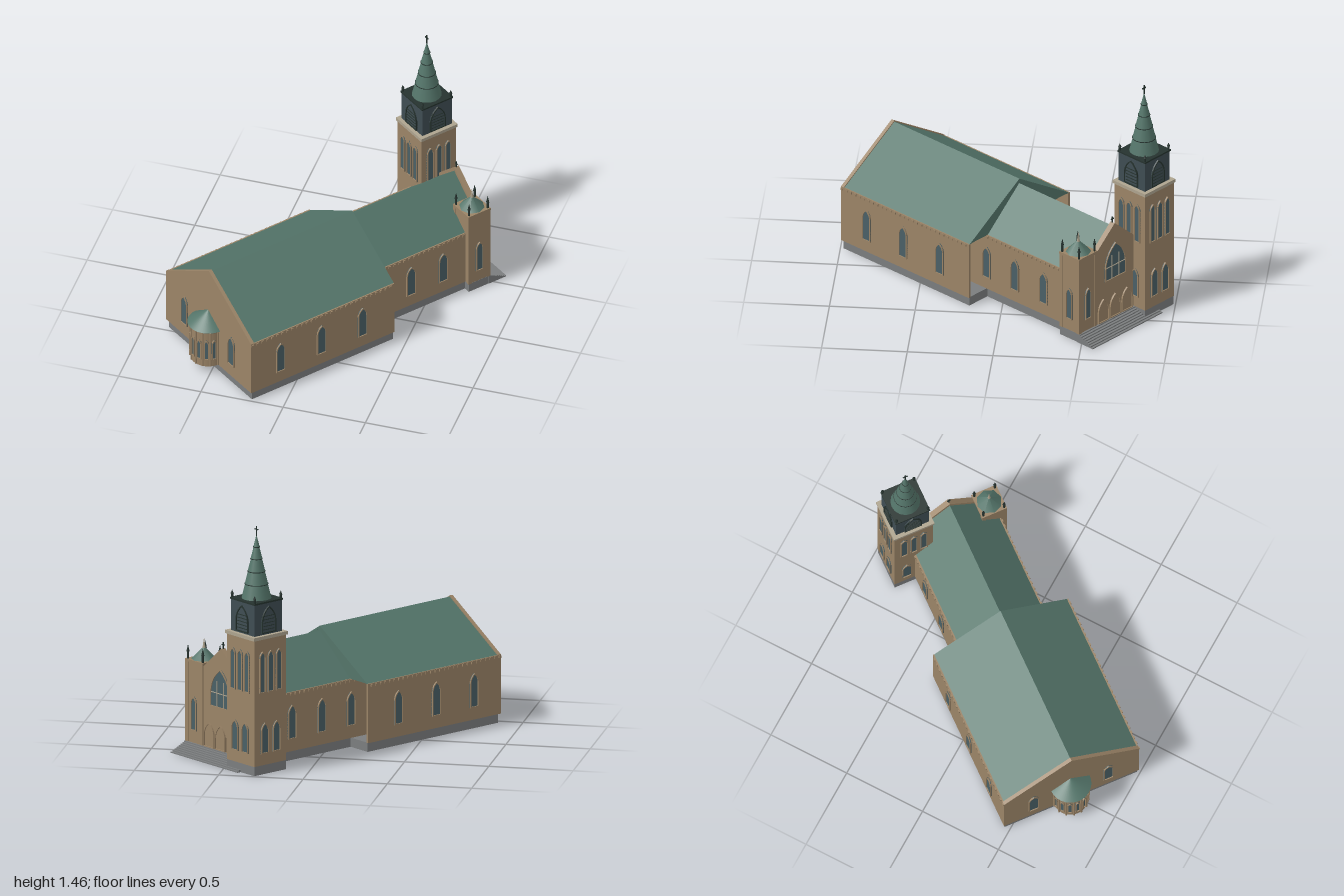
import * as THREE from 'three';

const mat = (name, color, side = THREE.FrontSide) => {
  const m = new THREE.MeshStandardMaterial({ color, side });
  m.name = name;
  return m;
};

export function createModel() {
  const stone = mat('tan stone', 0x9b8467);
  const roofM = mat('green copper', 0x54756a, THREE.DoubleSide);
  const grey = mat('grey plinth', 0x7b7d7e);
  const slate = mat('dark slate', 0x3f4d53);
  const glass = mat('window glass', 0x4a6066);
  const trim = mat('pale trim', 0xaea48f);
  const dark = mat('dark metal', 0x26332f);

  const model = new THREE.Group();
  model.name = 'church';
  const church = new THREE.Group();
  church.name = 'churchBody';
  church.rotation.y = -0.66;
  model.add(church);

  // helpers
  const add = (name, geo, m, x = 0, y = 0, z = 0, parent = church) => {
    const mesh = new THREE.Mesh(geo, m);
    mesh.name = name;
    mesh.position.set(x, y, z);
    parent.add(mesh);
    return mesh;
  };
  const box = (name, m, x0, x1, y0, y1, z0, z1, parent) =>
    add(name, new THREE.BoxGeometry(x1 - x0, y1 - y0, z1 - z0), m,
      (x0 + x1) / 2, (y0 + y1) / 2, (z0 + z1) / 2, parent);
  const block = (name, m, cx, cz, half, y0, y1) =>
    box(name, m, cx - half, cx + half, y0, y1, cz - half, cz + half);
  const poly = (pts) => new THREE.Shape(pts.map(p => new THREE.Vector2(p[0], p[1])));
  const prism = (name, m, pts, z0, z1) =>
    add(name, new THREE.ExtrudeGeometry(poly(pts), { depth: z1 - z0, bevelEnabled: false }), m, 0, 0, z0);

  // pointed arch outline, base at y = 0
  const arch = (w, h, o = 0, T = THREE.Shape) => {
    const s = h - w * 0.9, a = w / 2 - o, t = h - o * 1.4;
    const p = new T();
    p.moveTo(-a, o);
    p.lineTo(a, o);
    p.lineTo(a, s);
    p.quadraticCurveTo(a, s + (t - s) * 0.6, 0, t);
    p.quadraticCurveTo(-a, s + (t - s) * 0.6, -a, s);
    p.closePath();
    return p;
  };
  // arched panel with a raised frame, facing the direction ry
  const archWindow = (name, w, h, x, y, z, ry, fill = glass, frame = stone) => {
    const g = new THREE.Group();
    g.name = name;
    g.position.set(x, y, z);
    g.rotation.y = ry;
    church.add(g);
    add('pane', new THREE.ExtrudeGeometry(arch(w, h), { depth: 0.004, bevelEnabled: false, curveSegments: 5 }), fill, 0, 0, 0, g);
    const rim = arch(w, h);
    rim.holes.push(arch(w, h, 0.006, THREE.Path));
    add('frame', new THREE.ExtrudeGeometry(rim, { depth: 0.01, bevelEnabled: false, curveSegments: 5 }), frame, 0, 0, 0, g);
    return g;
  };
  const FRONT = 0, BACK = Math.PI, LEFT = Math.PI / 2, RIGHT = -Math.PI / 2;
  const C = 0.027;

  // hall: plinth, side walls, windows, roof and eave dentils
  const hall = (name, half, ridge, z0, z1, winZ) => {
    const eave = 0.41;
    for (const s of [-1, 1]) {
      const xo = C + s * half, xi = C + s * (half - 0.015);
      box(name + 'Wall', stone, Math.min(xo, xi), Math.max(xo, xi), 0.055, eave, z0, z1);
      for (const z of winZ) archWindow(name + 'Window', 0.065, 0.205, xo, 0.13, z, s > 0 ? LEFT : RIGHT);
      for (let z = z0 + 0.02; z < z1; z += 0.035)
        box('eaveDentil', stone, xo - 0.006, xo + 0.006, eave - 0.018, eave - 0.004, z, z + 0.015);
    }
    const h = half - 0.008, t = 0.015;
    prism(name + 'Roof', roofM, [[C - h, eave], [C - h + t * 1.5, eave], [C, ridge - t],
      [C + h - t * 1.5, eave], [C + h, eave], [C, ridge]], z0, z1);
  };
  box('navePlinth', grey, C - 0.42, C + 0.42, 0, 0.055, -0.105, 0.895);
  hall('nave', 0.43, 0.675, -0.11, 0.895, [0.7, 0.41, 0.12]);
  prism('naveEndGable', stone, [[C - 0.43, 0.055], [C + 0.43, 0.055], [C + 0.43, 0.412], [C, 0.682], [C - 0.43, 0.412]], 0.885, 0.907);
  prism('naveInnerGable', roofM, [[C - 0.42, 0.41], [C + 0.42, 0.41], [C, 0.67]], -0.108, -0.1);
  for (const x of [-0.215, 0.26]) archWindow('gableWindow', 0.065, 0.205, x, 0.14, 0.907, FRONT);

  box('vestibulePlinth', grey, C - 0.268, C + 0.268, 0, 0.054, -0.86, 0);
  hall('vestibule', 0.275, 0.645, -0.84, 0.08, [-0.11, -0.334, -0.562]);

  // apse
  const apseZ = 0.905, apseX = 0.02;
  add('apseWall', new THREE.CylinderGeometry(0.103, 0.103, 0.255, 24, 1, false, -Math.PI / 2, Math.PI), stone, apseX, 0.1825, apseZ);
  add('apseRoof', new THREE.ConeGeometry(0.122, 0.085, 24, 1, false, -Math.PI / 2, Math.PI), roofM, apseX, 0.3525, apseZ);
  add('apseCornice', new THREE.CylinderGeometry(0.114, 0.108, 0.015, 24, 1, false, -Math.PI / 2, Math.PI), stone, apseX, 0.303, apseZ);
  for (let i = 0; i < 7; i++) {
    const a = (i - 3) * 0.43;
    archWindow('apseWindow', 0.03, 0.14, apseX + Math.sin(a) * 0.102, 0.105, apseZ + Math.cos(a) * 0.102, a);
  }
  for (let i = 0; i < 8; i++) {
    const a = (i - 3.5) * 0.43;
    add('apseColumn', new THREE.CylinderGeometry(0.006, 0.006, 0.24, 6), stone,
      apseX + Math.sin(a) * 0.107, 0.18, apseZ + Math.cos(a) * 0.107);
  }

  // cross of two bars
  const cross = (x, y, z, h) => {
    box('crossPost', dark, x - 0.003, x + 0.003, y, y + h, z - 0.003, z + 0.003);
    box('crossBar', dark, x - h * 0.25, x + h * 0.25, y + h * 0.62, y + h * 0.72, z - 0.003, z + 0.003);
  };

  // entrance facade
  const fz = -0.868;
  prism('entranceGable', stone, [[C - 0.26, 0.055], [C + 0.26, 0.055], [C + 0.26, 0.44], [C, 0.668], [C - 0.26, 0.44]], fz, -0.835);
  cross(C, 0.66, -0.85, 0.045);
  const big = archWindow('entranceWindow', 0.175, 0.235, C, 0.31, fz, BACK);
  for (const x of [-0.029, 0.029]) box('mullion', trim, x - 0.002, x + 0.002, 0.006, 0.16, 0, 0.008, big);
  box('transom', trim, -0.082, 0.082, 0.085, 0.089, 0, 0.008, big);
  for (const x of [-0.1, 0, 0.1]) archWindow('portal', 0.09, 0.15, C + x, 0.056, fz, BACK, stone, stone);

  // entrance steps
  for (let i = 0; i < 8; i++)
    box('entranceStep', grey, -0.255, 0.338, 0, 0.055 * (8 - i) / 8, -0.882 - i * 0.0147, -0.86);

  // corner pinnacle
  const pinnacle = (x, y, z, h) => {
    add('pinnacleShaft', new THREE.CylinderGeometry(0.007, 0.007, h * 0.5, 6), dark, x, y + h * 0.25, z);
    add('pinnacleCap', new THREE.ConeGeometry(0.01, h * 0.5, 6), dark, x, y + h * 0.75, z);
  };
  const corners = (cx, cz, d, fn) => {
    for (const sx of [-1, 1]) for (const sz of [-1, 1]) fn(cx + sx * d, cz + sz * d);
  };
  // one call of fn for each side of a square tower
  const sides = (cx, cz, half, fn) => {
    for (let i = 0; i < 4; i++) {
      const a = i * Math.PI / 2, s = Math.sin(a), c = Math.cos(a);
      fn(a, (o) => [cx + s * half + c * o, cz + c * half - s * o]);
    }
  };

  // bell tower
  const tx = -0.255, tz = -0.838;
  block('towerPlinth', grey, tx, tz, 0.121, 0, 0.055);
  block('towerShaft', stone, tx, tz, 0.122, 0.055, 0.812);
  block('towerCornice', trim, tx, tz, 0.129, 0.812, 0.832);
  block('belfry', slate, tx, tz, 0.105, 0.832, 1.02);
  block('belfryCornice', dark, tx, tz, 0.11, 1.02, 1.03);
  sides(tx, tz, 0.122, (ry, at) => {
    for (const o of [-0.063, 0, 0.063]) {
      const [x, z] = at(o);
      archWindow('towerUpperWindow', 0.046, 0.25, x, 0.49, z, ry);
    }
    for (const o of [-0.045, 0.045]) {
      const [x, z] = at(o);
      archWindow('towerLowerWindow', 0.06, 0.185, x, 0.125, z, ry);
    }
  });
  sides(tx, tz, 0.105, (ry, at) => {
    const [x, z] = at(0);
    const g = archWindow('belfryOpening', 0.108, 0.16, x, 0.842, z, ry, slate, dark);
    for (let i = 0; i < 5; i++) box('louver', dark, -0.042, 0.042, 0.02 + i * 0.02, 0.024 + i * 0.02, 0, 0.008, g);
  });
  corners(tx, tz, 0.1, (x, z) => pinnacle(x, 1.03, z, 0.045));

  // spire in slightly stepped tiers
  const tiers = [1.03, 1.115, 1.19, 1.265, 1.335, 1.405];
  const radius = (y) => 0.084 * (1.405 - y) / 0.375;
  for (let i = 0; i < 5; i++) {
    const y0 = tiers[i], y1 = tiers[i + 1];
    add('spireTier', new THREE.CylinderGeometry(radius(y1) + 0.001, radius(y0) + 0.003, y1 - y0, 16), roofM, tx, (y0 + y1) / 2, tz);
    if (i) add('spireBand', new THREE.CylinderGeometry(radius(y0) + 0.005, radius(y0) + 0.005, 0.004, 16), dark, tx, y0, tz);
  }
  cross(tx, 1.4, tz, 0.06);

  // stair turret
  const sx = 0.26, sz = -0.797;
  block('turretPlinth', grey, sx, sz, 0.075, 0, 0.055);
  block('turretShaft', stone, sx, sz, 0.074, 0.055, 0.545);
  block('turretCornice', stone, sx, sz, 0.079, 0.535, 0.55);
  corners(sx, sz, 0.066, (x, z) => {
    block('turretButtress', stone, x, z, 0.012, 0.055, 0.545);
    pinnacle(x, 0.55, z, 0.085);
  });
  sides(sx, sz, 0.074, (ry, at) => {
    const [x, z] = at(0);
    archWindow('turretWindow', 0.05, 0.205, x, 0.13, z, ry);
  });
  add('turretRoof', new THREE.ConeGeometry(0.075, 0.075, 8), roofM, sx, 0.5875, sz);
  add('turretFinial', new THREE.ConeGeometry(0.012, 0.08, 6), trim, sx, 0.64, sz);

  return model;
}
